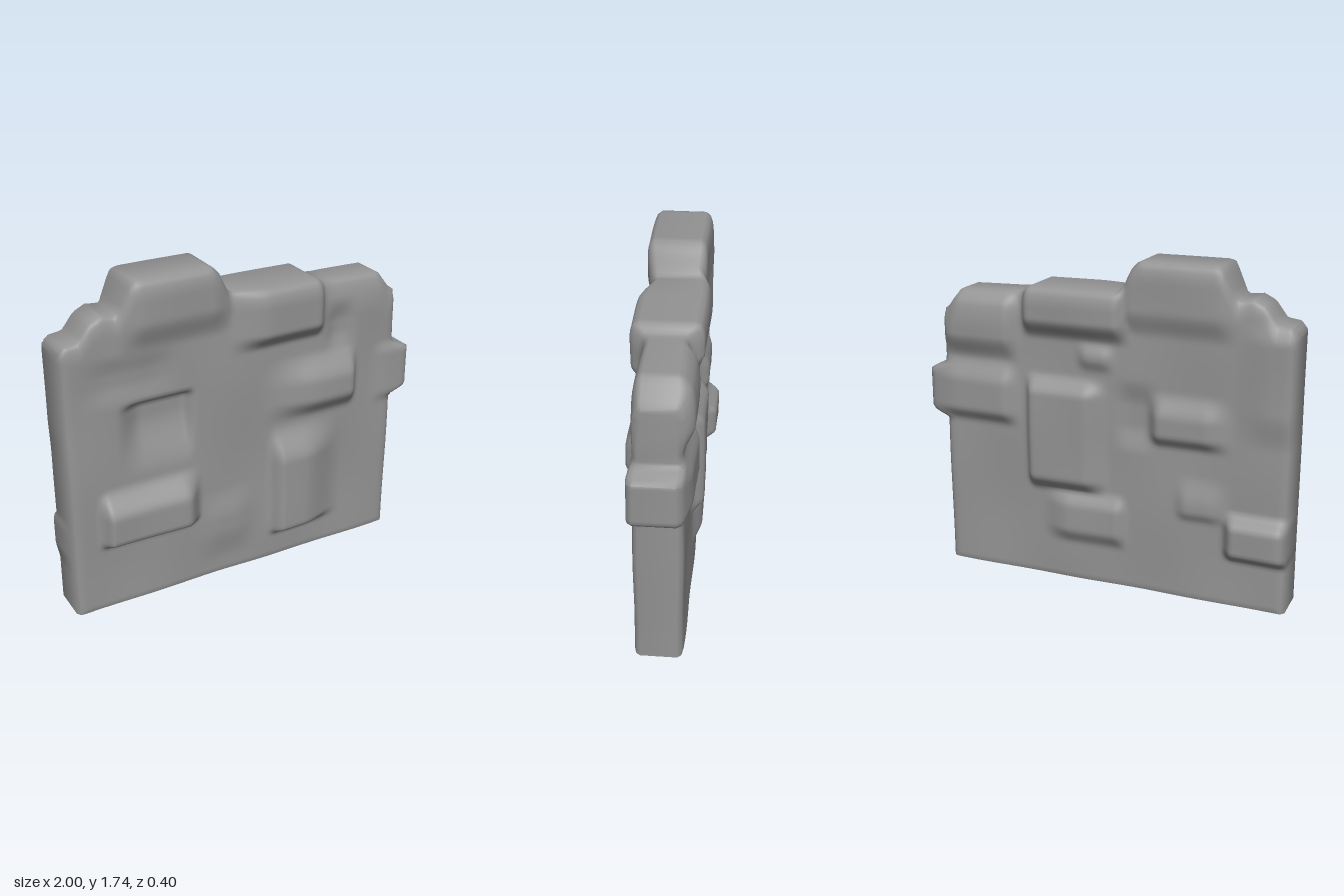
import * as THREE from 'three';
import { toCreasedNormals } from 'three/addons/utils/BufferGeometryUtils.js';

const NX = 112, NY = 100;
const smooth = THREE.MathUtils.smoothstep;
const lerp = THREE.MathUtils.lerp;

// Ragged top edge as x, y pairs
const TOP = [[-1, 1.43], [-0.97, 1.47], [-0.9, 1.48], [-0.84, 1.56], [-0.78, 1.59], [-0.7, 1.58],
  [-0.63, 1.73], [-0.6, 1.74], [-0.21, 1.74], [-0.17, 1.7], [-0.11, 1.585], [0.38, 1.58], [0.43, 1.54],
  [0.79, 1.53], [0.86, 1.44], [0.9, 1.41], [1.1, 1.4]];

// Stones: x0, x1, y0, y1, height off the wall face, then the ramp widths left, right, bottom, top
const FRONT = [
  [-0.86, -0.28, 0.35, 0.69, 0.085, 0.05, 0.12, 0.06, 0.14],
  [0.11, 0.58, 0.14, 0.8, 0.075, 0.06, 0.28, 0.06, 0.2],
  [0.05, 0.66, 0.81, 1.18, 0.06, 0.35, 0.07, 0.12, 0.16],
  [-0.14, 0.45, 1.25, 1.64, 0.06, 0.24, 0.07, 0.1, 0.08],
  [-0.74, -0.06, 1.38, 1.84, 0.04, 0.16, 0.16, 0.16, 0.1],
  [0.74, 1.1, 0.78, 1.15, 0.02, 0.12, 0.06, 0.08, 0.08],
  [-0.36, 0.06, 0.08, 0.52, 0.02, 0.2, 0.16, 0.2, 0.18],
  [-0.74, -0.31, 0.72, 1.13, -0.06, 0.16, 0.05, 0.3, 0.05],
  [0.43, 0.66, 1.12, 1.45, -0.025, 0.1, 0.12, 0.14, 0.14],
  [-0.95, -0.35, 1.12, 1.4, -0.015, 0.2, 0.2, 0.12, 0.12],
];
const BACK = [
  [-0.06, 0.42, 0.48, 1.13, 0.06, 0.14, 0.06, 0.1, 0.1],
  [-0.16, 0.34, 0.2, 0.52, 0.04, 0.06, 0.18, 0.1, 0.1],
  [-1.06, -0.66, 0.24, 0.52, 0.07, 0.05, 0.07, 0.07, 0.08],
  [-0.72, -0.25, 0.8, 1.1, 0.045, 0.16, 0.08, 0.08, 0.14],
  [-0.72, -0.4, 0.42, 0.68, 0.025, 0.14, 0.08, 0.07, 0.16],
  [-0.75, -0.06, 1.36, 1.84, 0.035, 0.14, 0.12, 0.14, 0.12],
  [-0.18, 0.44, 1.3, 1.68, 0.06, 0.09, 0.06, 0.12, 0.12],
  [0.44, 0.95, 1.16, 1.6, 0.045, 0.08, 0.14, 0.14, 0.14],
  [0.44, 1.04, 0.81, 1.18, 0.045, 0.1, 0.24, 0.09, 0.14],
  [-0.1, 0.14, 1.15, 1.32, 0.025, 0.08, 0.08, 0.08, 0.08],
  [-1.1, -0.7, 0.85, 1.5, 0.025, 0.1, 0.2, 0.2, 0.12],
  [-0.34, -0.05, 0.75, 1.15, -0.025, 0.12, 0.12, 0.15, 0.15],
];

function topAt(x) {
  let k = 0;
  while (k < TOP.length - 2 && x > TOP[k + 1][0]) k++;
  const [a, b] = [TOP[k], TOP[k + 1]];
  return a[1] + (b[1] - a[1]) * (x - a[0]) / (b[0] - a[0]);
}

// Pillow-shaped relief: raised stones merge by maximum, hollows by minimum
function relief(stones, x, y) {
  let up = 0, down = 0;
  for (const [x0, x1, y0, y1, h, left, right, bottom, top] of stones) {
    const m = smooth(x, x0, x0 + left) * smooth(-x, -x1, -x1 + right)
      * smooth(y, y0, y0 + bottom) * smooth(-y, -y1, -y1 + top);
    up = Math.max(up, h * m);
    down = Math.min(down, h * m);
  }
  return up + down + 0.006 * Math.sin(7 * x + 2 * y) * Math.sin(6 * y - 3 * x + 1);
}

// Extra width where one stone sticks out of the side edge
const sideBulge = (y) => 0.095 * smooth(y, 0.81, 0.87) * smooth(-y, -1.13, -1.08);

function wallGeometry() {
  const front = [], back = [];
  for (let j = 0; j <= NY; j++) {
    for (let i = 0; i <= NX; i++) {
      // Rows are level up to y = 1.2, then follow the top edge
      const bx = -1 + 1.9 * i / NX, top = topAt(bx), t = j / NY;
      const y = t < 0.7 ? t / 0.7 * 1.2 : lerp(1.2, top, (t - 0.7) / 0.3);
      const bulge = sideBulge(y);
      const x = bx + bulge * smooth(bx, 0.72, 0.9);
      // Rounding towards the outline, with a longer taper on the upper right stone
      const taper = smooth(x, 0.4, 0.5);
      const r = Math.min(1, (top - y) / lerp(0.1, 0.2, taper), (x + 1) / 0.05, (0.9 + bulge - x) / 0.06,
        0.4 + y / 0.02);
      const low = lerp(0.76, 0.58, taper * smooth(y, 1.15, 1.4));
      const round = low + (1 - low) * Math.sqrt(Math.max(0, 1 - (1 - r) ** 2));
      front.push(x, y, -0.01 + (0.12 + relief(FRONT, x, y)) * round);
      back.push(x, y, -0.01 - (0.12 + relief(BACK, x, y)) * round);
    }
  }
  const row = NX + 1, N = row * (NY + 1), index = [];
  for (let j = 0; j < NY; j++) {
    for (let i = 0; i < NX; i++) {
      const a = j * row + i, b = a + 1, d = a + row, c = d + 1;
      index.push(a, b, c, a, c, d, a + N, c + N, b + N, a + N, d + N, c + N);
    }
  }
  // Rim joining front and back
  const rim = [];
  for (let i = 0; i < NX; i++) rim.push(i);
  for (let j = 0; j < NY; j++) rim.push(j * row + NX);
  for (let i = NX; i > 0; i--) rim.push(NY * row + i);
  for (let j = NY; j > 0; j--) rim.push(j * row);
  rim.forEach((p, k) => {
    const q = rim[(k + 1) % rim.length];
    index.push(p, p + N, q + N, p, q + N, q);
  });
  const g = new THREE.BufferGeometry();
  g.setAttribute('position', new THREE.Float32BufferAttribute(front.concat(back), 3));
  g.setIndex(index);
  return toCreasedNormals(g, 1.1);
}

export function createModel() {
  const group = new THREE.Group();
  group.name = 'stoneWall';
  const wall = new THREE.Mesh(wallGeometry(), new THREE.MeshStandardMaterial({ color: 0x949494 }));
  wall.name = 'wallSlab';
  group.add(wall);
  return group;
}
